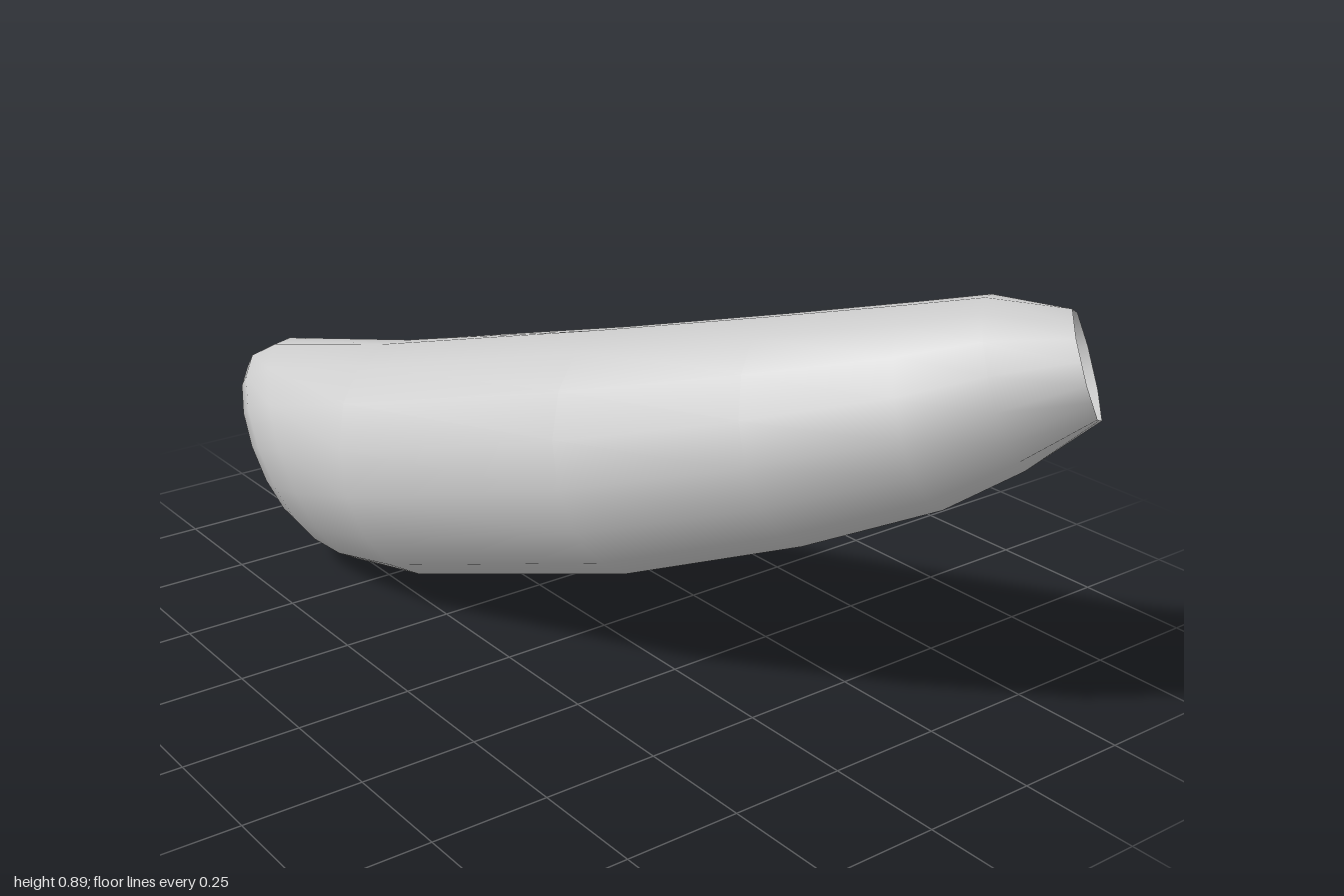
import * as THREE from 'three';

const SIDES = 16;

// Each station along the bent tube: centre, facing direction, radius
const STATIONS = [
  { c: [0.40, 0.80, 0.925], n: [0.61, 0.32, 0.72], r: 0.11 },   // narrow mouth
  { c: [0.335, 0.745, 0.80], n: [0.55, 0.32, 0.77], r: 0.167 },
  { c: [0.25, 0.685, 0.69], n: [0.47, 0.30, 0.83], r: 0.198 },
  { c: [0.134, 0.588, 0.45], n: [0.39, 0.28, 0.88], r: 0.229 },
  { c: [-0.016, 0.467, 0.10], n: [0.35, 0.26, 0.90], r: 0.256 },
  { c: [-0.20, 0.315, -0.45], n: [0.42, 0.28, 0.86], r: 0.265 },
  { c: [-0.285, 0.268, -0.72], n: [0.69, 0.37, 0.62], r: 0.272 },
  { c: [-0.31, 0.252, -0.80], n: [0.70, 0.39, 0.60], r: 0.245 },
  { c: [-0.322, 0.245, -0.835], n: [0.70, 0.39, 0.60], r: 0.212 }, // wide mouth
  { c: [-0.315, 0.247, -0.82], n: [0.70, 0.39, 0.60], r: 0.192 },
  { c: [-0.27, 0.272, -0.72], n: [0.65, 0.37, 0.66], r: 0.192 },   // lip turned inwards
];

// Points of one ring, lying in the plane its station faces
function ringPoints({ c, n, r }, octagonal) {
  const centre = new THREE.Vector3(...c);
  const normal = new THREE.Vector3(...n).normalize();
  const u = new THREE.Vector3(0, 1, 0).cross(normal).normalize();
  const v = normal.clone().cross(u);
  return Array.from({ length: SIDES }, (_, j) => {
    const a = (j / SIDES) * Math.PI * 2;
    const radius = octagonal && j % 2 ? r * Math.cos(Math.PI / 8) : r;
    return centre.clone()
      .addScaledVector(u, Math.cos(a) * radius)
      .addScaledVector(v, Math.sin(a) * radius);
  });
}

// Skin the rings with smooth, shared vertices
function loft(stations) {
  const points = stations.flatMap((s, i) => ringPoints(s, i === 0));
  const index = [];
  for (let i = 0; i < stations.length - 1; i++) {
    for (let j = 0; j < SIDES; j++) {
      const k = (j + 1) % SIDES;
      const a = i * SIDES + j, b = i * SIDES + k;
      const c = a + SIDES, d = b + SIDES;
      index.push(a, c, b, b, c, d);
    }
  }
  const geometry = new THREE.BufferGeometry().setFromPoints(points);
  geometry.setIndex(index);
  geometry.computeVertexNormals();
  return geometry;
}

export function createModel() {
  const group = new THREE.Group();
  group.name = 'taperedSleeve';
  const material = new THREE.MeshStandardMaterial({ color: 0xcccccc, side: THREE.DoubleSide });
  const sleeve = new THREE.Mesh(loft(STATIONS), material);
  sleeve.name = 'sleeve';
  group.add(sleeve);
  return group;
}
